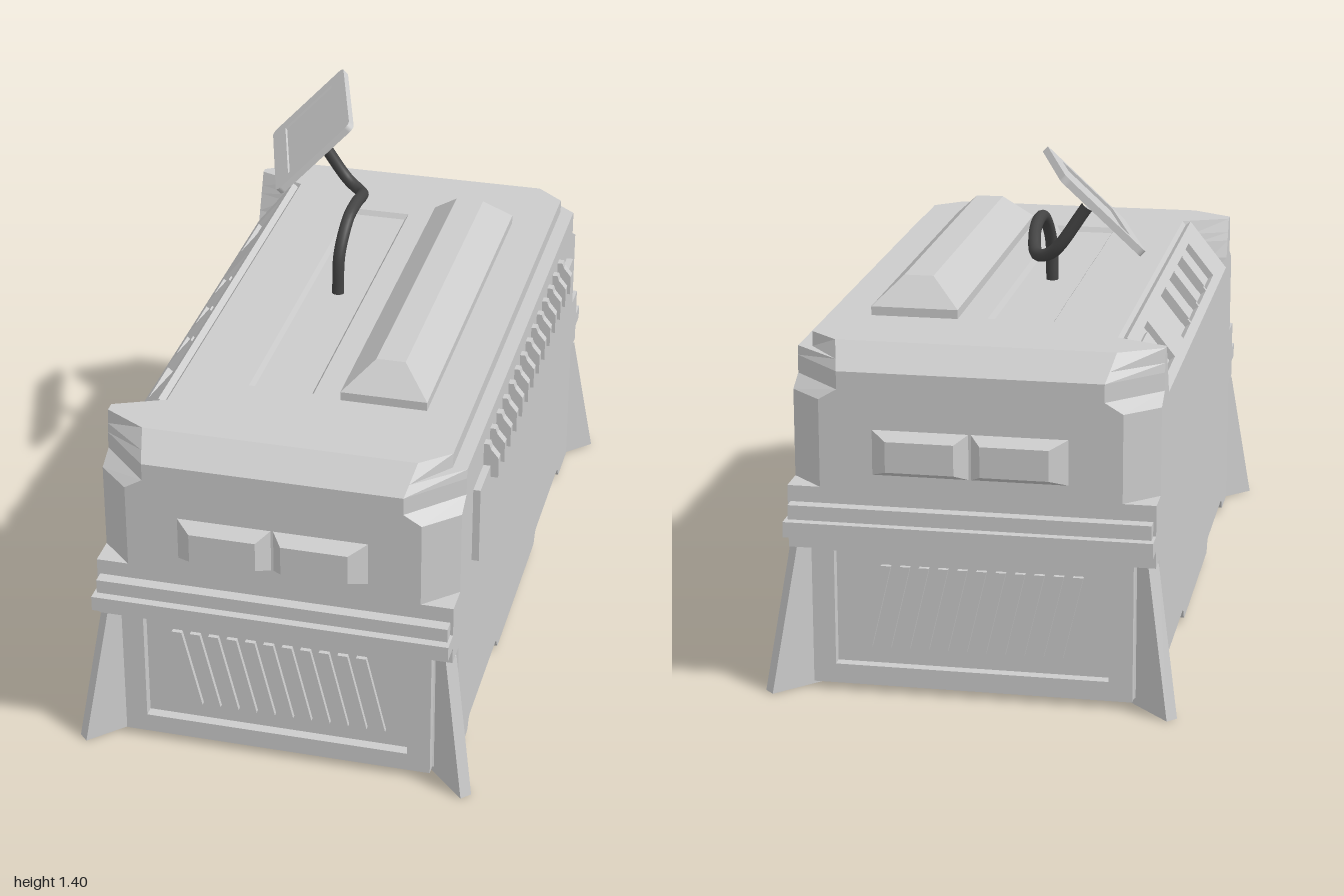
import * as THREE from 'three';

const grey = new THREE.MeshStandardMaterial({ color: 0xcccccc, flatShading: true });
const dark = new THREE.MeshStandardMaterial({ color: 0x444444 });

function add(parent, name, geometry, material = grey) {
  const mesh = new THREE.Mesh(geometry, material);
  mesh.name = name;
  parent.add(mesh);
  return mesh;
}

function box(parent, name, x0, x1, y0, y1, z0, z1) {
  const mesh = add(parent, name, new THREE.BoxGeometry(x1 - x0, y1 - y0, z1 - z0));
  mesh.position.set((x0 + x1) / 2, (y0 + y1) / 2, (z0 + z1) / 2);
  return mesh;
}

// Flat polygon from points, with optional holes
function shapeOf(points, holes = []) {
  const v = (p) => p.map(([x, y]) => new THREE.Vector2(x, y));
  const shape = new THREE.Shape(v(points));
  holes.forEach((h) => shape.holes.push(new THREE.Path(v(h))));
  return shape;
}
const rect2 = (x0, x1, y0, y1) => [[x0, y0], [x1, y0], [x1, y1], [x0, y1]];
const extrude = (shape, depth) => new THREE.ExtrudeGeometry(shape, { depth, bevelEnabled: false, curveSegments: 6 });

// Skin between rings that run anticlockwise seen from +y; the last ring can be closed
function loft(rings, hole = null, cap = true) {
  const pos = [];
  for (let i = 0; i + 1 < rings.length; i++) {
    const a = rings[i], b = rings[i + 1], n = a.length;
    for (let j = 0; j < n; j++) {
      const k = (j + 1) % n;
      pos.push(...a[j], ...a[k], ...b[k], ...a[j], ...b[k], ...b[j]);
    }
  }
  if (cap) {
    const last = rings[rings.length - 1];
    const flat = (r) => r.map((p) => [p[0], -p[2]]);
    const lid = new THREE.ShapeGeometry(shapeOf(flat(last), hole ? [flat(hole)] : [])).toNonIndexed();
    lid.rotateX(-Math.PI / 2).translate(0, last[0][1], 0);
    for (const c of lid.attributes.position.array) pos.push(c);
  }
  const g = new THREE.BufferGeometry();
  g.setAttribute('position', new THREE.Float32BufferAttribute(pos, 3));
  g.computeVertexNormals();
  return g;
}
const rect3 = (y, x0, x1, z0, z1) => [[x1, y, z1], [x1, y, z0], [x0, y, z0], [x0, y, z1]];

// Plan outline of the upper body; t is how far up the console slope it lies (below 0: none)
function bodyRing(y, right, zc, xc, z, t) {
  const k = Math.max(t, 0);
  const inner = t < 0 ? -0.5 : -0.4745 + 0.1145 * t;
  const plan = [
    [right, zc], [right, -zc], [xc, -z], [-xc, -z], [-0.5, -zc],
    [-0.5, -0.71 - 0.06 * k], [inner, -0.71], [inner, 0.7], [-0.5, 0.7 + 0.06 * k],
    [-0.5, zc], [-xc, z], [xc, z],
  ];
  return plan.map(([px, pz]) => [px, y, pz]);
}

function buildBody(root) {
  // Upper shell with cut corners, sloped ends, stepped right edge and console cut
  const slot = rect3(0.975, -0.165, 0.02, -0.58, 0.57);
  const t = (y) => (y - 0.83) / 0.145;
  add(root, 'upperBody', loft([
    bodyRing(0.585, 0.5, 0.855, 0.41, 0.94, -1),
    bodyRing(0.83, 0.5, 0.855, 0.41, 0.94, -1),
    bodyRing(0.83, 0.5, 0.855, 0.41, 0.94, 0),
    bodyRing(0.86, 0.5, 0.8, 0.36, 0.94, t(0.86)),
    bodyRing(0.91, 0.5, 0.8, 0.36, 0.94, t(0.91)),
    bodyRing(0.935, 0.5, 0.795, 0.368, 0.909, t(0.935)),
    bodyRing(0.935, 0.46, 0.795, 0.368, 0.909, t(0.935)),
    bodyRing(0.975, 0.46, 0.79, 0.38, 0.86, 1),
  ], slot));
  add(root, 'topSlot', loft([slot, rect3(0.96, -0.155, 0.01, -0.57, 0.56)]));
  box(root, 'middleBody', -0.5, 0.5, 0.41, 0.585, -0.94, 0.94);

  // Lower shell: side profile with two shallow arches under it
  const s = new THREE.Shape();
  s.moveTo(-0.86, 0.41);
  s.lineTo(-0.86, 0.02);
  for (const [a, b] of [[-0.72, -0.28], [0.28, 0.72]]) {
    s.lineTo(a, 0.02);
    s.bezierCurveTo(a + 0.02, 0.02, a + 0.01, 0.058, a + 0.045, 0.058);
    s.lineTo(b - 0.045, 0.058);
    s.bezierCurveTo(b - 0.01, 0.058, b - 0.02, 0.02, b, 0.02);
  }
  s.lineTo(0.86, 0.02);
  s.lineTo(0.86, 0.41);
  add(root, 'lowerBody', extrude(s, 1).rotateY(-Math.PI / 2).translate(0.5, 0, 0));
}

// Everything on one end; lean is the slant of the vent bars
function buildEnd(root, name, lean) {
  const end = new THREE.Group();
  end.name = name;
  root.add(end);
  add(end, 'lowerEnd', extrude(shapeOf([[-0.5, -0.86], [0.5, -0.86], [0.44, -0.9], [-0.44, -0.9]].reverse()), 0.39)
    .rotateX(-Math.PI / 2).translate(0, 0.02, 0));
  add(end, 'ventFrame', extrude(shapeOf(rect2(-0.44, 0.44, 0.02, 0.41), [rect2(-0.378, 0.375, 0.075, 0.403)]), 0.03)
    .translate(0, 0, 0.9));
  for (let i = 0; i < 11; i++) {
    const a = lean * (-0.288 + i * 0.0527), b = a + lean * 0.055;
    add(end, 'ventBar', extrude(shapeOf([[b - 0.014, 0.125], [b + 0.014, 0.125], [a + 0.014, 0.36], [a - 0.014, 0.36]]), 0.014)
      .translate(0, 0, 0.899));
  }
  // Stepped bumper
  box(end, 'bumper', -0.5, 0.5, 0.457, 0.5, 0.93, 1);
  box(end, 'bumperStep', -0.492, 0.492, 0.5, 0.54, 0.93, 0.975);
  // Twin grip blocks
  for (const [x0, x1, u0, u1] of [[-0.27, 0, -0.22, -0.035], [0, 0.27, 0.035, 0.22]]) {
    add(end, 'gripBlock', loft([rect3(0.935, x0, x1, -0.755, -0.625), rect3(0.985, u0, u1, -0.735, -0.65)])
      .rotateX(Math.PI / 2));
  }
  // Diagonal stabiliser feet
  for (const side of [-1, 1]) {
    const foot = add(end, 'foot', extrude(shapeOf([[-0.02, 0], [0.158, 0], [0.07, 0.412], [-0.02, 0.412]]), 0.035)
      .translate(0, 0, -0.0175));
    foot.position.set(side * 0.442, 0, 0.87);
    foot.rotation.y = side > 0 ? -Math.PI / 4 : -Math.PI * 3 / 4;
  }
  return end;
}

function buildConsole(root) {
  const g = new THREE.Group();
  g.name = 'console';
  root.add(g);
  const n = new THREE.Vector3(-0.145, 0.115, 0).normalize();
  const up = new THREE.Vector3(0.115, 0.145, 0).normalize();
  g.matrixAutoUpdate = true;
  g.quaternion.setFromRotationMatrix(new THREE.Matrix4().makeBasis(new THREE.Vector3(0, 0, 1), up, n));
  g.position.set(-0.5, 0.83, 0).addScaledVector(n, -0.02);
  const cells = [[-0.64, -0.44], [-0.25, -0.08], [-0.065, 0.115], [0.13, 0.305], [0.32, 0.5]];
  add(g, 'consolePlate', extrude(shapeOf(rect2(-0.71, 0.7, 0, 0.185), cells.map(([a, b]) => rect2(a, b, 0.03, 0.155))), 0.02));
  box(g, 'consoleButton', -0.61, -0.47, 0.05, 0.135, -0.002, 0.01);
  for (const z of [-0.0725, 0.1225, 0.3125]) box(g, 'consoleDivider', z - 0.012, z + 0.012, 0.045, 0.155, 0, 0.026);
}

function buildSide(root) {
  box(root, 'sidePanel', 0.49, 0.52, 0.595, 0.82, -0.705, 0.71);
  const profile = shapeOf([[0.49, 0.785], [0.542, 0.785], [0.542, 0.845], [0.52, 0.872], [0.515, 0.887], [0.49, 0.887]]);
  for (let i = 0; i < 14; i++) {
    add(root, 'coolingFin', extrude(profile, 0.026).translate(0, 0, 0.55 - i * 0.0854));
  }
}

function buildScreen(root) {
  // Bent flexible arm
  const path = new THREE.CatmullRomCurve3([
    [-0.07, 0.96, -0.05], [-0.068, 1.08, -0.06], [-0.06, 1.163, -0.13], [-0.058, 1.173, -0.22],
    [-0.065, 1.15, -0.32], [-0.09, 1.12, -0.41], [-0.14, 1.14, -0.445], [-0.235, 1.272, -0.45],
  ].map((p) => new THREE.Vector3(...p)));
  add(root, 'screenArm', new THREE.TubeGeometry(path, 48, 0.018, 12), dark);

  // Tilted screen with rounded frame
  const g = new THREE.Group();
  g.name = 'screen';
  root.add(g);
  const u = new THREE.Vector3(0.12, 0, 0.4).normalize();
  const n = u.clone().cross(new THREE.Vector3(0.21, 0.215, -0.063)).normalize();
  g.quaternion.setFromRotationMatrix(new THREE.Matrix4().makeBasis(u, n.clone().cross(u), n));
  g.position.set(-0.25, 1.288, -0.445);
  const rounded = () => {
    const s = new THREE.Shape(), w = 0.21, h = 0.153, r = 0.02;
    s.absarc(w - r, h - r, r, 0, Math.PI / 2);
    s.absarc(r - w, h - r, r, Math.PI / 2, Math.PI);
    s.absarc(r - w, r - h, r, Math.PI, Math.PI * 1.5);
    s.absarc(w - r, r - h, r, Math.PI * 1.5, Math.PI * 2);
    return s;
  };
  add(g, 'screenBack', extrude(rounded(), 0.012).translate(0, 0, -0.01));
  const frame = rounded();
  frame.holes.push(new THREE.Path(rect2(-0.165, 0.165, -0.1, 0.1).map((p) => new THREE.Vector2(...p))));
  add(g, 'screenFrame', extrude(frame, 0.008).translate(0, 0, 0.002));
}

export function createModel() {
  const root = new THREE.Group();
  root.name = 'machine';
  buildBody(root);
  buildEnd(root, 'frontEnd', 1);
  buildEnd(root, 'backEnd', -1).rotation.y = Math.PI;
  buildConsole(root);
  buildSide(root);
  // Raised ridge on the top
  add(root, 'topRidge', loft([
    rect3(0.97, 0.1, 0.343, -0.598, 0.588),
    rect3(1.0, 0.1, 0.343, -0.598, 0.588),
    rect3(1.075, 0.183, 0.265, -0.523, 0.513),
  ]));
  buildScreen(root);
  return root;
}
